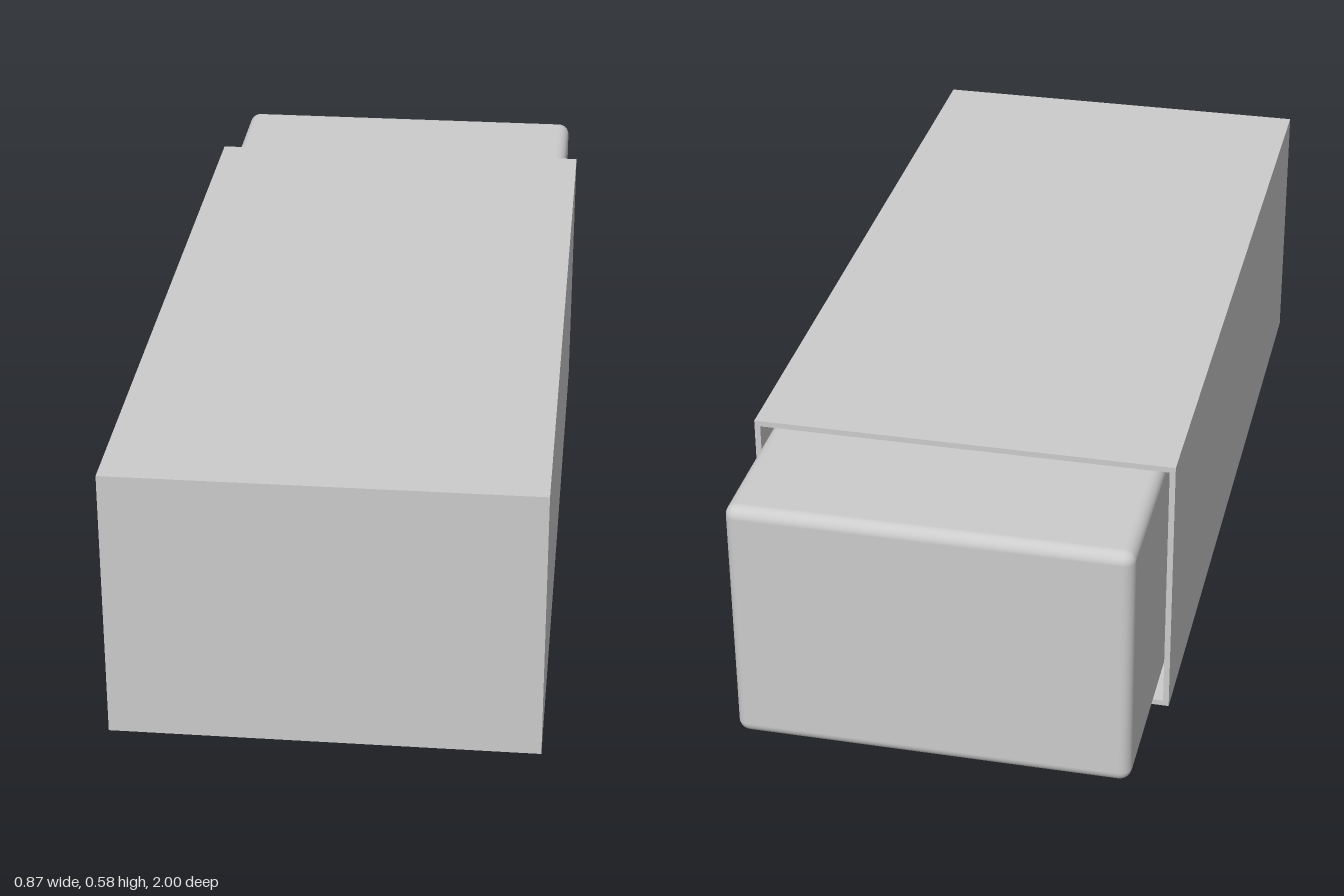
import * as THREE from 'three';
import { RoundedBoxGeometry } from 'three/addons/geometries/RoundedBoxGeometry.js';

const W = 0.866, H = 0.58, WALL = 0.012;
const BACK = -0.7, FRONT = 1;

// Closed rectangular outline centred on the origin
function rectangle(PathType, w, h) {
  const p = new PathType();
  p.moveTo(-w / 2, -h / 2);
  p.lineTo(w / 2, -h / 2);
  p.lineTo(w / 2, h / 2);
  p.lineTo(-w / 2, h / 2);
  p.closePath();
  return p;
}

export function createModel() {
  const model = new THREE.Group();
  model.name = 'sleeveBox';
  const material = new THREE.MeshStandardMaterial({ color: 0xcccccc });

  const add = (name, geometry, y, z, parent) => {
    const mesh = new THREE.Mesh(geometry, material);
    mesh.name = name;
    mesh.position.set(0, y, z);
    parent.add(mesh);
  };

  // Thin-walled sleeve, open at the back and closed at the front
  const sleeve = new THREE.Group();
  sleeve.name = 'sleeve';
  const outline = rectangle(THREE.Shape, W, H);
  outline.holes.push(rectangle(THREE.Path, W - 2 * WALL, H - 2 * WALL));
  const walls = new THREE.ExtrudeGeometry(outline, {
    depth: FRONT - WALL - BACK, bevelEnabled: false,
  });
  add('sleeveWalls', walls, H / 2, BACK, sleeve);
  add('sleeveFront', new THREE.BoxGeometry(W, H, WALL), H / 2, FRONT - WALL / 2, sleeve);
  model.add(sleeve);

  // Rounded inner box, sticking out of the back of the sleeve
  const length = 1.97;
  add('innerBox', new RoundedBoxGeometry(0.812, 0.54, length, 4, 0.025), H / 2, -1 + length / 2, model);

  return model;
}
